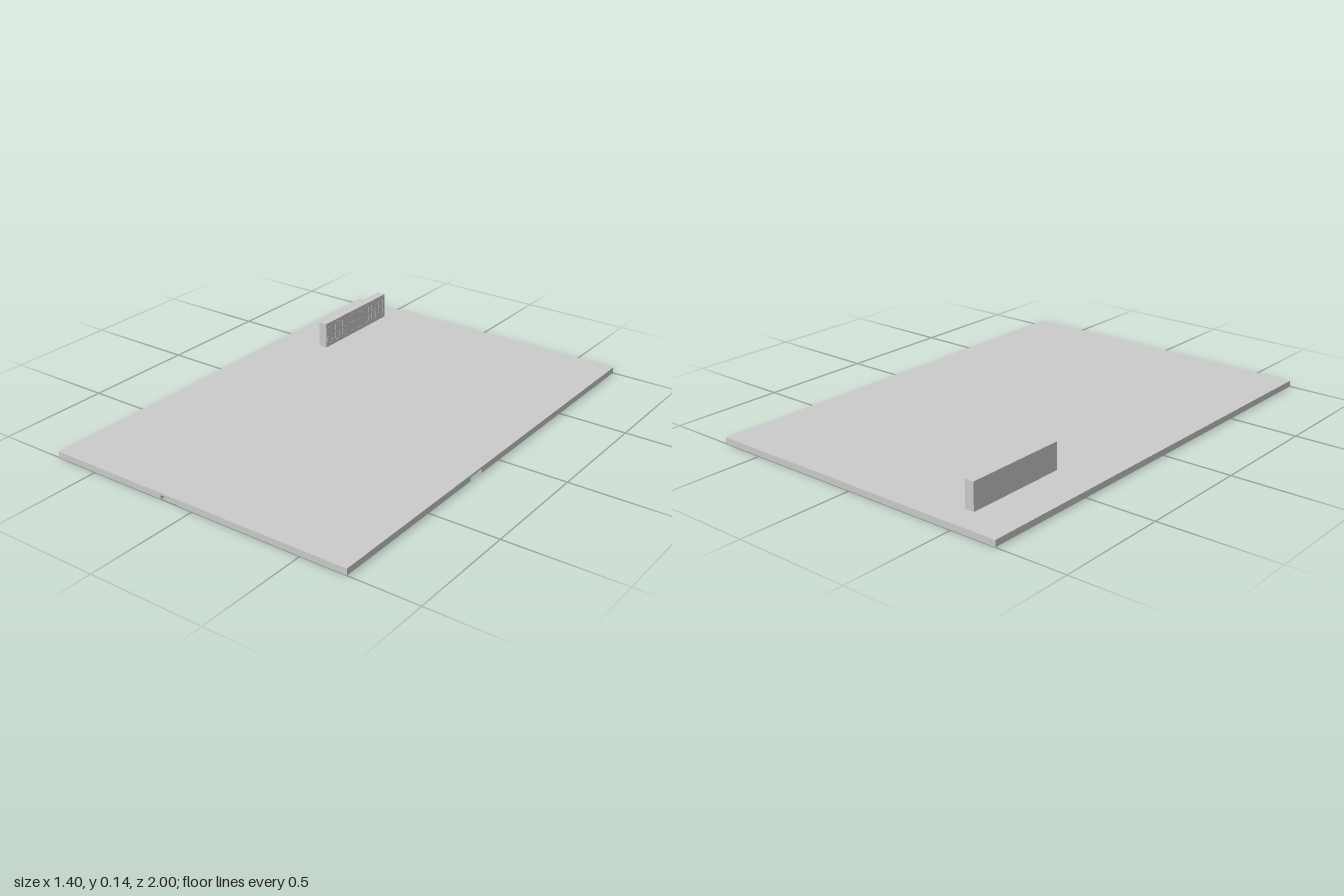
import * as THREE from 'three';

const material = new THREE.MeshStandardMaterial({ color: 0xcccccc });
const TOP = 0.027;     // upper face of the board
const CHANNEL = 0.018; // height of the channel ceiling

// Outlines (x, z) of the raised areas under the board; the gaps between them are the channels
const regions = {
  outerBlock: [
    [0.7, 0.13], [0.49, 0.13], [0.49, -0.66], [-0.025, -0.66], [-0.025, -0.85], [-0.405, -0.85],
    [-0.405, -0.39], [-0.56, -0.39], [-0.56, 0.09], [-0.11, 0.09], [-0.11, 0.2], [-0.445, 0.2],
    [-0.445, 0.8], [-0.155, 0.8], [-0.155, 1], [-0.7, 1], [-0.7, -1], [0.7, -1],
  ],
  cornerBlock: [
    [0.7, 0.21], [0.405, 0.21], [0.405, -0.58], [-0.11, -0.58], [-0.11, -0.77], [-0.32, -0.77],
    [-0.32, -0.39], [0.145, -0.39], [0.145, -0.165], [0.275, -0.165], [0.275, 0.45], [0.43, 0.45],
    [0.43, 0.8], [-0.07, 0.8], [-0.07, 1], [0.7, 1],
  ],
  islandBlock: [
    [-0.475, -0.31], [0.06, -0.31], [0.06, -0.085], [0.19, -0.085], [0.19, 0.53], [0.35, 0.53],
    [0.35, 0.72], [-0.36, 0.72], [-0.36, 0.28], [-0.025, 0.28], [-0.025, 0.01], [-0.475, 0.01],
  ],
};

function box(parent, name, size, position) {
  const mesh = new THREE.Mesh(new THREE.BoxGeometry(...size), material);
  mesh.name = name;
  mesh.position.set(...position);
  parent.add(mesh);
  return mesh;
}

// Flat block with the given (x, z) outline, from the ground up to the channel ceiling
function block(name, outline) {
  const shape = new THREE.Shape(outline.map(([x, z]) => new THREE.Vector2(x, z)));
  const geometry = new THREE.ExtrudeGeometry(shape, { depth: CHANNEL, bevelEnabled: false });
  geometry.rotateX(Math.PI / 2);
  const mesh = new THREE.Mesh(geometry, material);
  mesh.name = name;
  mesh.position.y = CHANNEL;
  return mesh;
}

// Upright display half with four seven-segment digits on its +x face
function displayHalf(name, z) {
  const half = new THREE.Group();
  half.name = name;
  const height = 0.116, length = 0.2325, cell = length / 4;
  box(half, 'displayCase', [0.04, height, length], [0, height / 2, 0]);
  for (let i = 0; i < 4; i++) {
    const digit = new THREE.Group();
    digit.name = 'digit';
    digit.position.set(0.02, height / 2, (i - 1.5) * cell);
    for (const y of [-0.042, 0, 0.042]) {
      box(digit, 'horizontalSegment', [0.002, 0.006, 0.026], [0, y, 0]);
    }
    for (const y of [-0.021, 0.021]) {
      for (const side of [-1, 1]) {
        box(digit, 'verticalSegment', [0.002, 0.03, 0.005], [0, y, side * 0.017]);
      }
    }
    half.add(digit);
  }
  half.position.set(-0.485, TOP, z);
  return half;
}

export function createModel() {
  const model = new THREE.Group();
  model.name = 'channelBoard';

  // Board: thin cover over the channel blocks
  box(model, 'topPlate', [1.4, TOP - CHANNEL, 2], [0, (TOP + CHANNEL) / 2, 0]);
  for (const [name, outline] of Object.entries(regions)) model.add(block(name, outline));

  // Display standing on the board in two halves
  model.add(displayHalf('backDisplay', -0.77), displayHalf('frontDisplay', -0.5375));
  return model;
}
